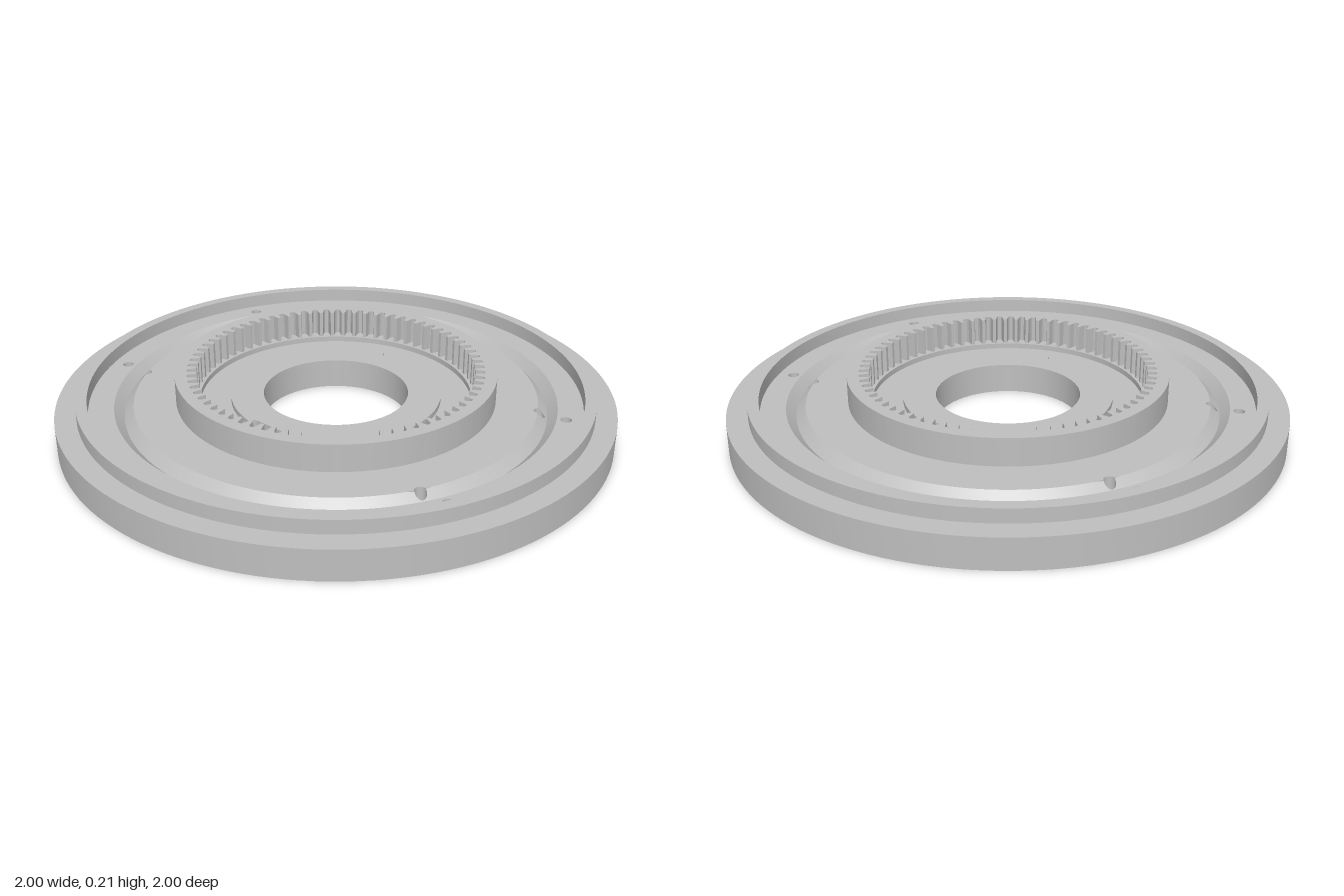
import * as THREE from 'three';

const N = 144, TAU = Math.PI * 2;

// Top profile as bands: inner radius, outer radius, height at each
const bands = [
  [0.262, 0.38, 0.11, 0.11], [0.38, 0.49, 0.09, 0.09], [0.49, 0.727, 0.11, 0.11],
  [0.727, 0.761, 0.11, 0.076], [0.761, 0.795, 0.076, 0.11], [0.795, 0.885, 0.11, 0.11],
  [0.885, 0.925, 0.16, 0.16], [0.925, 1, 0.11, 0.11],
];
function topHeight(r) {
  const [r0, r1, y0, y1] = bands.find((b) => r <= b[1]) || bands[bands.length - 1];
  return y0 + (y1 - y0) * (r - r0) / (r1 - r0);
}

// Plan outlines, counter-clockwise
const circle = (r, x = 0, y = 0, n = N) => Array.from({ length: n }, (_, i) =>
  new THREE.Vector2(x + r * Math.cos(i / n * TAU), y + r * Math.sin(i / n * TAU)));
const slot = (x) => circle(0.0175, x, 0, 48).map((p) => {
  p.y += p.y >= 0 ? 0.055 : -0.055;
  return p;
});

const boltHoles = [];
for (const sx of [1, -1]) for (const sy of [1, -1]) {
  boltHoles.push(circle(0.02, sx * 0.348, sy * 0.75, 40), circle(0.02, sx * 0.348, sy * 0.644, 40));
}
const slots = [slot(0.37), slot(-0.37)];
const cutouts = [...boltHoles, ...slots];

const fromStart = (a) => (a - Math.PI / 2 + TAU * 2) % TAU;
const spread = (pts) => {
  const r = pts.map((p) => p.length());
  return [Math.min(...r), Math.max(...r)];
};

// Circle of radius R that detours round any cutout crossing it
function contour(R, outside) {
  const bites = [];
  for (const hole of cutouts) {
    const [lo, hi] = spread(hole);
    if (lo >= R || hi <= R) continue;
    const keep = (p) => (p.length() > R) === outside;
    const n = hole.length;
    const start = hole.findIndex((p, i) => keep(p) && !keep(hole[(i + n - 1) % n]));
    const pts = [];
    for (let i = 0; i < n && keep(hole[(start + i) % n]); i++) pts.push(hole[(start + i) % n]);
    if (!outside) pts.reverse();
    const mid = hole.reduce((s, p) => s.add(p), new THREE.Vector2());
    const key = fromStart(mid.angle());
    const half = Math.max(...pts.map((p) => Math.abs(fromStart(p.angle()) - key)));
    bites.push({ key, half, pts });
  }
  const rim = circle(R).map((p) => ({ key: fromStart(p.angle()), pts: [p] }))
    .filter((c) => !bites.some((b) => Math.abs(b.key - c.key) < b.half + 0.004));
  return [...rim, ...bites].sort((a, b) => a.key - b.key).flatMap((c) => c.pts);
}

const lift = (pts, y) => pts.map((p) =>
  new THREE.Vector3(p.x, typeof y === 'function' ? y(p.length()) : y, -p.y));

// Closed strip between two loops, facing the axis when listed bottom first
function loft(low, high, skip = () => false) {
  const n = low.length, index = [];
  for (let i = 0; i < n; i++) {
    const j = (i + 1) % n;
    if (!skip(low[i])) index.push(i, n + i, n + j, i, n + j, j);
  }
  const g = new THREE.BufferGeometry().setFromPoints([...low, ...high]);
  g.setIndex(index);
  g.computeVertexNormals();
  return g;
}

// Flat face with holes, facing up or down
function face(outer, holes, y, up = true) {
  const shape = new THREE.Shape(outer);
  shape.holes = holes.map((h) => new THREE.Path(h));
  return new THREE.ShapeGeometry(shape).rotateX(up ? -Math.PI / 2 : Math.PI / 2).translate(0, y, 0);
}

export function createModel() {
  const group = new THREE.Group();
  const metal = new THREE.MeshStandardMaterial({ color: 0xbfbfbf });
  metal.name = 'greyMetal';
  const add = (name, geometry) => {
    const mesh = new THREE.Mesh(geometry, metal);
    mesh.name = name;
    group.add(mesh);
  };

  // Flat top surfaces and the two slopes of the V groove
  for (const [r0, r1, y0, y1] of bands) {
    if (y0 === y1) {
      const inside = cutouts.filter((h) => spread(h)[0] > r0 && spread(h)[1] < r1);
      add('topFace', face(contour(r1, false), [contour(r0, true), ...inside], y0));
    } else {
      const inner = contour(r0, true);
      const outer = inner.map((p) => p.clone().setLength(r1));
      add('grooveSlope', loft(lift(inner, (r) => y0 + (y1 - y0) * (r - r0) / (r1 - r0)), lift(outer, y1)));
    }
  }

  // Round walls: radius, bottom, top, facing outward
  const walls = [
    ['boreWall', 0.262, 0, 0.11, false], ['ledgeWall', 0.38, 0.09, 0.11, true],
    ['channelWall', 0.49, 0.09, 0.11, false], ['rimInnerWall', 0.885, 0.11, 0.16, false],
    ['rimOuterWall', 0.925, 0.11, 0.16, true], ['plateEdge', 1, 0, 0.11, true],
  ];
  for (const [name, r, y0, y1, outward] of walls) {
    const low = lift(circle(r), y0), high = lift(circle(r), y1);
    const skip = (p) => name === 'ledgeWall' && Math.abs(p.z) < 0.065;
    add(name, outward ? loft(high, low, skip) : loft(low, high, skip));
  }

  // Underside with a blind locating hole near the edge
  const blind = circle(0.02, 0.96, 0, 32);
  add('underside', face(circle(1), [circle(0.262), ...cutouts, blind], 0, false));
  add('blindHoleWall', loft(lift(blind, 0), lift(blind, 0.04)));
  add('blindHoleEnd', face(blind, [], 0.04, false));

  // Walls of the bolt holes and slots follow the top surface
  boltHoles.forEach((h) => add('boltHoleWall', loft(lift(h, 0), lift(h, topHeight))));
  slots.forEach((h) => add('slotWall', loft(lift(h, 0), lift(h, topHeight))));

  // Internal ring gear
  const teeth = 72, gap = [];
  for (let i = 0; i < teeth; i++) {
    for (const [t, r] of [[-0.36, 0.5], [-0.24, 0.527], [-0.13, 0.535], [0.13, 0.535], [0.24, 0.527], [0.36, 0.5]]) {
      const a = (i + t) / teeth * TAU;
      gap.push(new THREE.Vector2(r * Math.cos(a), r * Math.sin(a)));
    }
  }
  const ring = new THREE.Shape(circle(0.577));
  ring.holes.push(new THREE.Path(gap));
  add('ringGear', new THREE.ExtrudeGeometry(ring, { depth: 0.1, bevelEnabled: false })
    .rotateX(-Math.PI / 2).translate(0, 0.11, 0));

  return group;
}
